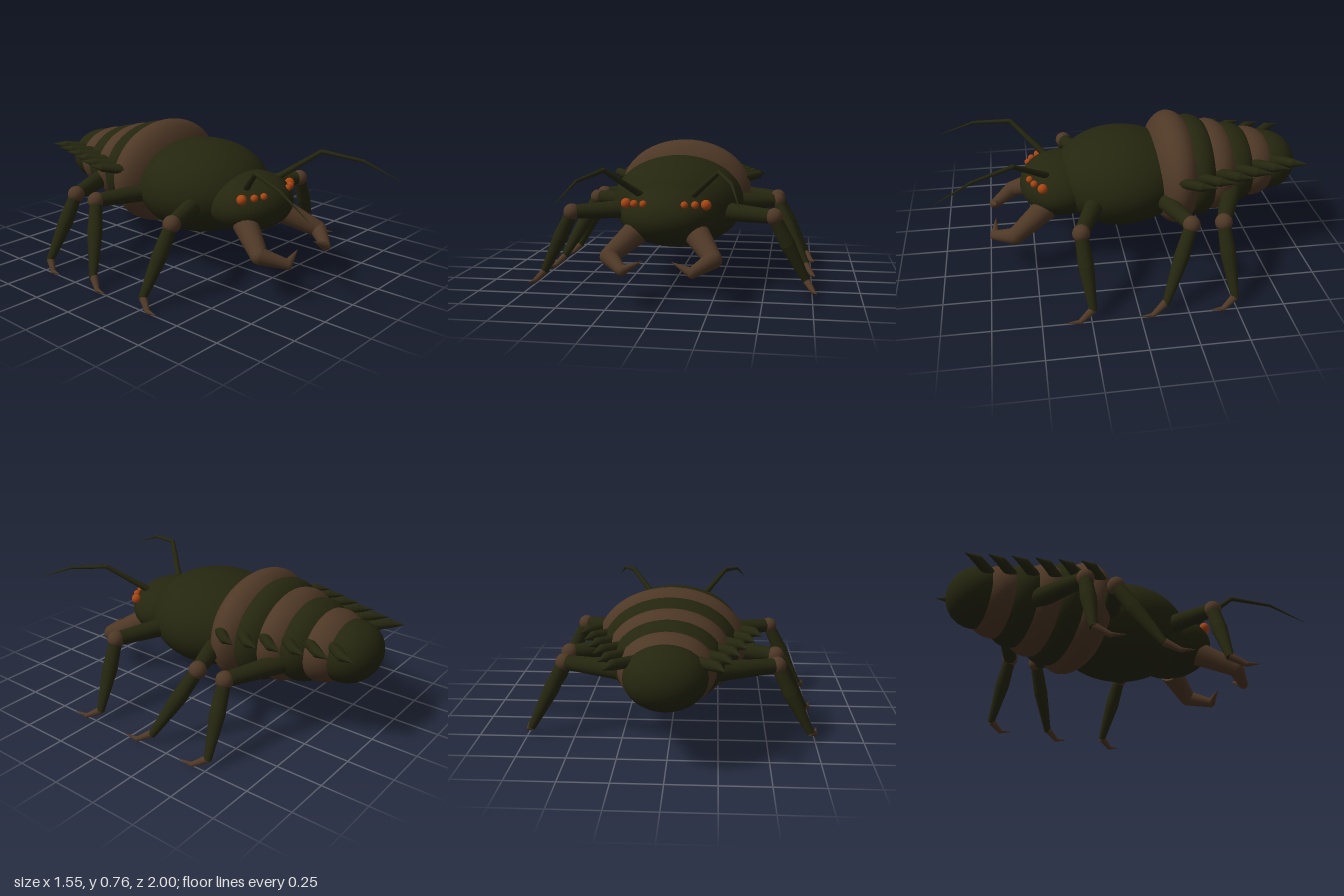
import * as THREE from 'three';

const mat = (name, color) => Object.assign(new THREE.MeshStandardMaterial({ color }), { name });

export function createModel() {
  const shell = mat('dark olive shell', 0x25260f);
  const brown = mat('brown bands', 0x4e3826);
  const orange = mat('orange eyes', 0xa84412);
  const root = new THREE.Group();
  root.name = 'beetle';

  const add = (parent, name, geometry, material) => {
    const mesh = new THREE.Mesh(geometry, material);
    mesh.name = name;
    parent.add(mesh);
    return mesh;
  };

  const ellipsoid = (parent, name, material, center, radii, detail = 40) => {
    const mesh = add(parent, name, new THREE.SphereGeometry(1, detail, Math.round(detail * 0.6)), material);
    mesh.position.set(...center);
    mesh.scale.set(...radii);
  };

  // Tapered limb along points [x, y, z, radius], with round joints between pieces
  const limb = (parent, name, material, points, sides = 14) => {
    const group = new THREE.Group();
    group.name = name;
    parent.add(group);
    for (let i = 0; i < points.length - 1; i++) {
      const a = new THREE.Vector3(...points[i]);
      const b = new THREE.Vector3(...points[i + 1]);
      const dir = b.clone().sub(a);
      const piece = add(group, name + 'Piece',
        new THREE.CylinderGeometry(points[i + 1][3], points[i][3], dir.length(), sides), material);
      piece.position.copy(a).add(b).multiplyScalar(0.5);
      piece.quaternion.setFromUnitVectors(new THREE.Vector3(0, 1, 0), dir.normalize());
      if (i > 0) {
        const r = points[i][3];
        ellipsoid(group, name + 'Joint', material, points[i].slice(0, 3), [r, r, r], 14);
      }
    }
  };

  // Head and thorax
  ellipsoid(root, 'thorax', shell, [0, 0.436, 0], [0.366, 0.256, 0.375], 56);
  ellipsoid(root, 'head', shell, [0, 0.41, 0.33], [0.255, 0.16, 0.23], 48);

  // Abdomen of six shrinking rings in alternating colours
  const ringZ = (i) => -0.29 - 0.11 * i;
  const ringX = (i) => 0.39 - 0.038 * i;
  for (let i = 0; i < 6; i++) {
    ellipsoid(root, 'abdomenRing' + (i + 1), i % 2 ? shell : brown,
      [0, 0.464, ringZ(i)], [ringX(i), 0.297 - 0.028 * i, 0.16], 48);
  }

  // Hip z, knee z and ankle z of each pair of legs
  const legs = { frontLeg: [0.18, 0.275, 0.24], middleLeg: [-0.2, -0.292, -0.13], rearLeg: [-0.56, -0.46, -0.495] };

  for (const s of [1, -1]) {
    const side = new THREE.Group();
    side.name = s > 0 ? 'leftSide' : 'rightSide';
    root.add(side);
    const m = (points) => points.map(([x, ...rest]) => [s * x, ...rest]);

    for (const [name, [hip, knee, ankle]] of Object.entries(legs)) {
      const leg = new THREE.Group();
      leg.name = name;
      side.add(leg);
      limb(leg, 'upperLeg', shell, m([[0.22, 0.41, hip - (knee - hip) * 0.3, 0.054], [0.545, 0.403, knee, 0.038]]));
      ellipsoid(leg, 'knee', brown, [s * 0.545, 0.403, knee], [0.046, 0.046, 0.046], 20);
      const mid = knee + (ankle - knee) * 0.4;
      limb(leg, 'lowerLeg', shell, m([[0.545, 0.403, knee, 0.034], [0.618, 0.255, mid, 0.041], [0.725, 0.05, ankle, 0.02]]));
      limb(leg, 'claw', brown, m([[0.72, 0.058, ankle, 0.021], [0.757, 0.016, ankle + 0.07, 0.013], [0.772, 0.026, ankle + 0.142, 0.001]]), 10);
    }

    // Hooked spikes, one per abdomen ring
    for (let i = 0; i < 6; i++) {
      const x = ringX(i);
      const z = ringZ(i);
      limb(side, 'spike', shell, m([
        [x - 0.06, 0.535, z + 0.03, 0.03],
        [x + 0.035, 0.55, z - 0.075, 0.026],
        [x + 0.07, 0.553, z - 0.155, 0.001],
      ]), 10);
    }

    // Jaw, bent inwards to a point
    limb(side, 'jaw', brown, m([
      [0.155, 0.335, 0.43, 0.068],
      [0.262, 0.238, 0.605, 0.046],
      [0.172, 0.195, 0.715, 0.027],
      [0.072, 0.243, 0.705, 0.001],
    ]));

    // Three eyes
    for (const [x, y, z, r] of [[0.207, 0.483, 0.443, 0.027], [0.156, 0.488, 0.485, 0.02], [0.105, 0.49, 0.507, 0.019]]) {
      ellipsoid(side, 'eye', orange, [s * x, y, z], [r, r, r], 18);
    }

    // Antenna
    limb(side, 'antenna', shell, m([
      [0.13, 0.52, 0.41, 0.019],
      [0.285, 0.668, 0.59, 0.012],
      [0.365, 0.637, 0.8, 0.008],
      [0.418, 0.55, 0.998, 0.001],
    ]), 8);
  }
  return root;
}
